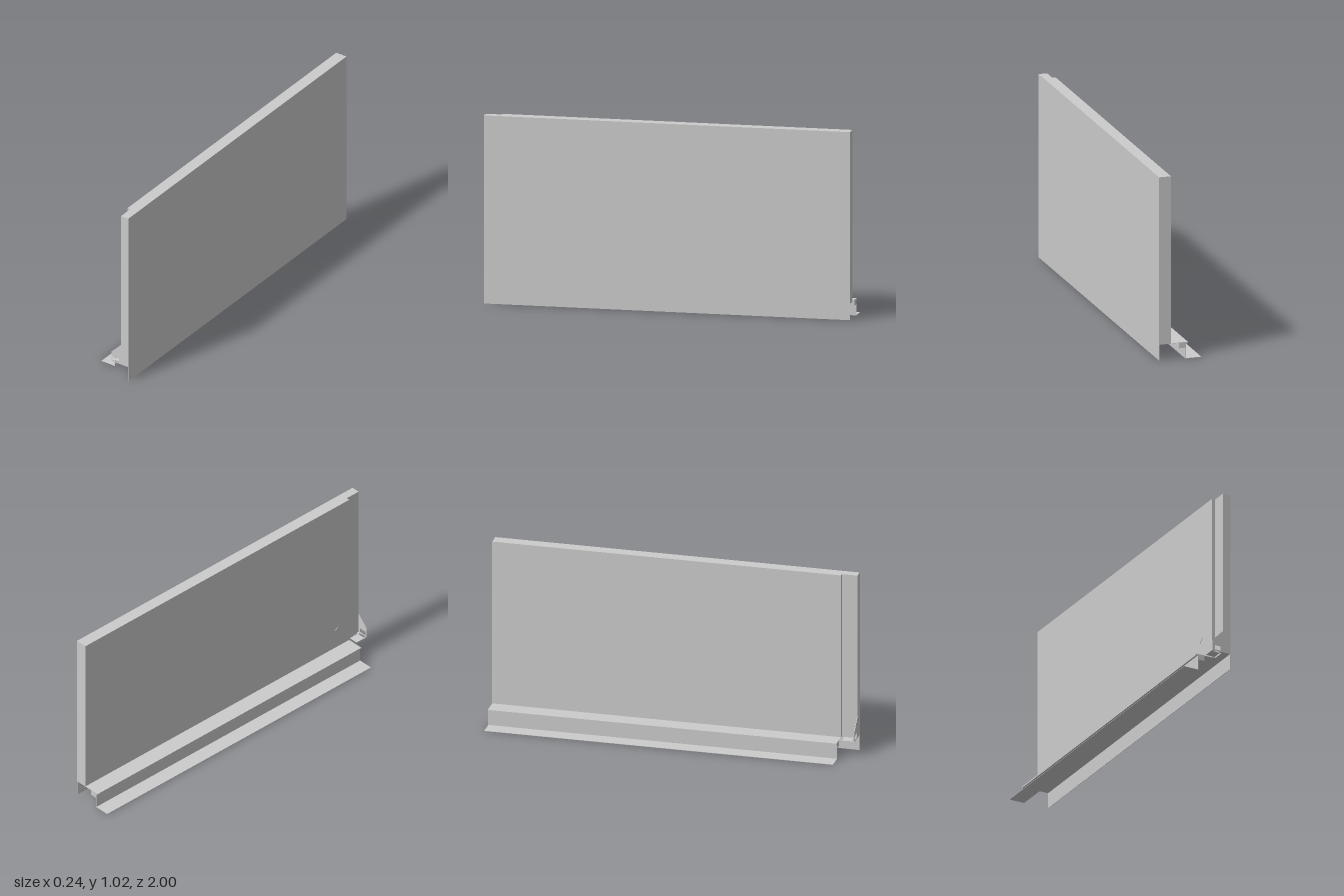
import * as THREE from 'three';

export function createModel() {
  const group = new THREE.Group();
  const mat = new THREE.MeshStandardMaterial({ color: 0xcccccc, flatShading: true });
  const T = 0.002; // sheet thickness

  const add = (name, geometry) => {
    const m = new THREE.Mesh(geometry, mat);
    m.name = name;
    group.add(m);
    return m;
  };

  // box given by its min and max corners
  const slab = (name, [x0, y0, z0], [x1, y1, z1]) =>
    add(name, new THREE.BoxGeometry(x1 - x0, y1 - y0, z1 - z0))
      .position.set((x0 + x1) / 2, (y0 + y1) / 2, (z0 + z1) / 2);

  const outline = points => new THREE.Shape(points.map(p => new THREE.Vector2(...p)));

  // outline in x,y extruded along z
  const extrude = (name, shape, z0, z1) =>
    add(name, new THREE.ExtrudeGeometry(shape, { depth: z1 - z0, bevelEnabled: false }))
      .position.z = z0;

  const X = 0.118, TOP = 1.02, SHELF = 0.092, END = 0.914;
  const INNER = 0.052, STEP = 0.071; // inner wall, and its recess at the front

  // hollow panel: outer sheet, top, back, and recessed front end
  slab('outerSheet', [X - T, 0.002, -1], [X, TOP, 1]);
  slab('topFlange', [INNER, TOP - T, -1], [X - T, TOP, END]);
  slab('topFlangeEnd', [STEP, TOP - T, END], [X - T, TOP, 1]);
  slab('backFlange', [INNER, SHELF, -1], [X - T, TOP - T, -1 + T]);
  slab('recessReturn', [INNER + T, SHELF, END - T], [STEP + T, TOP - T, END]);
  slab('recessWall', [STEP, SHELF, END], [STEP + T, TOP - T, 1 - T]);
  slab('recessBottom', [STEP, SHELF - T, END], [X - T, SHELF, 1 - T]);

  // inner wall with a small round hole, drawn in z,y and turned to face -x
  const wall = outline([[-1 + T, SHELF], [END, SHELF], [END, TOP - T], [-1 + T, TOP - T]]);
  wall.holes.push(new THREE.Path().absarc(0.81, 0.225, 0.02, 0, Math.PI * 2, true));
  const wallGeometry = new THREE.ExtrudeGeometry(wall, { depth: T, bevelEnabled: false });
  add('innerWall', wallGeometry.rotateY(-Math.PI / 2)).position.x = INNER + T;

  // front flange widening into a bracket with a window
  const bracket = outline([
    [X - T, SHELF - T], [X - T, TOP - T], [STEP, TOP - T],
    [STEP, 0.213], [0.008, 0.15], [0.008, SHELF - T],
  ]);
  bracket.holes.push(outline([[0.014, 0.097], [0.057, 0.097], [0.057, 0.123], [0.014, 0.123]]));
  extrude('frontFlange', bracket, 1 - T, 1);

  // bracket foot, slotted at the fold
  slab('bracketFoot', [0.008, SHELF - T, 0.928], [0.061, SHELF, 0.985]);
  slab('footLinkOuter', [0.008, SHELF - T, 0.985], [0.014, SHELF, 1 - T]);
  slab('footLinkInner', [0.057, SHELF - T, 0.985], [STEP, SHELF, 1 - T]);

  // shelf with its lip and rib, then the web and base flange
  extrude('shelf', outline([
    [-0.043, 0.084], [-0.033, 0.084], [-0.033, 0.06], [0.008, 0.06],
    [0.008, SHELF - T], [X - T, SHELF - T], [X - T, SHELF], [-0.043, SHELF],
  ]), -1, END);
  extrude('baseRail', outline([
    [-X, 0], [-0.029, 0], [-0.029, 0.06], [-0.033, 0.06],
    [-0.033, T], [-X, T],
  ]), -1, END);

  return group;
}
